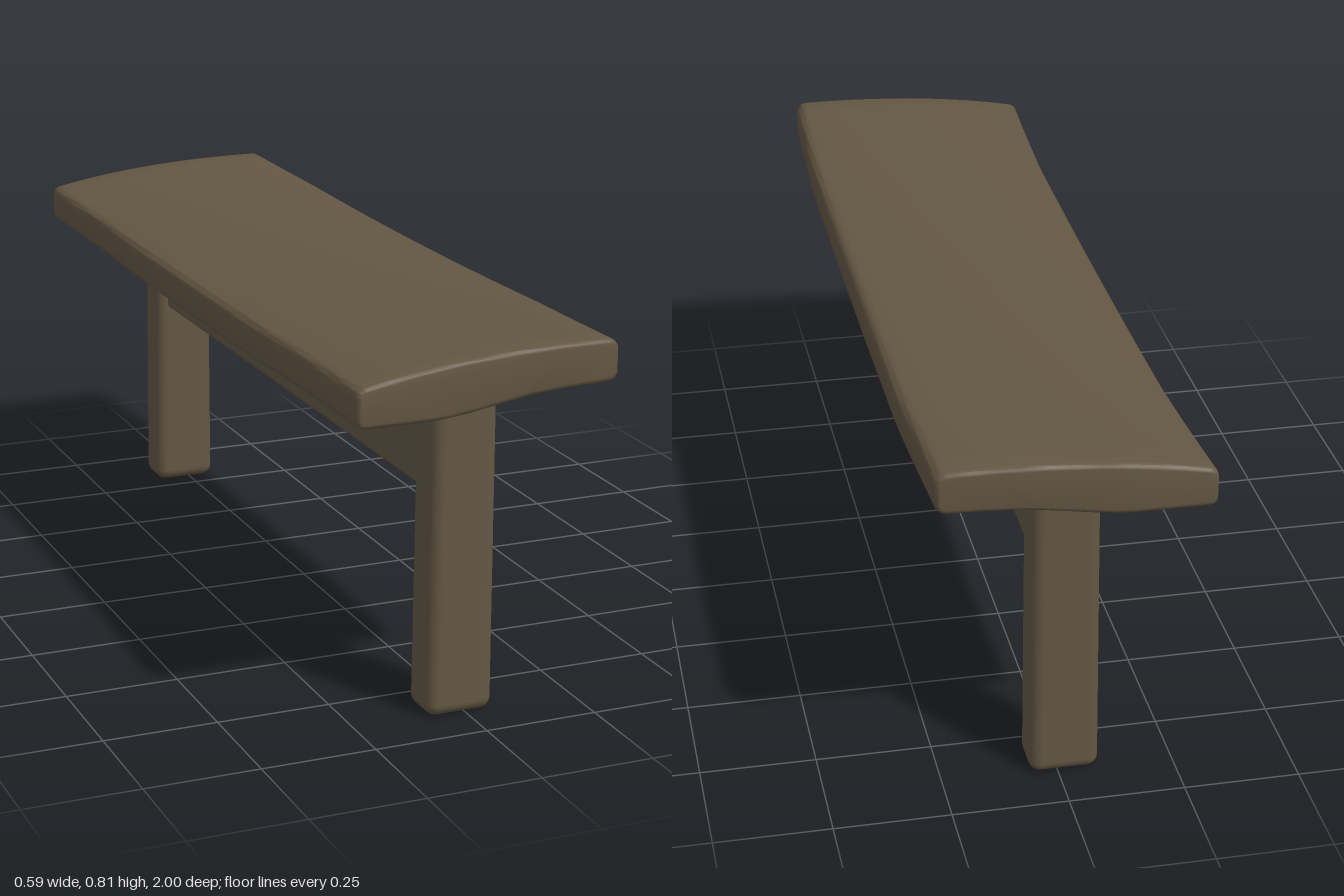
import * as THREE from 'three';
import { toCreasedNormals } from 'three/addons/utils/BufferGeometryUtils.js';
import { RoundedBoxGeometry } from 'three/addons/geometries/RoundedBoxGeometry.js';

const wood = new THREE.MeshStandardMaterial({ color: 0x635743 });
wood.name = 'weathered wood';

function part(name, geometry) {
  const mesh = new THREE.Mesh(geometry, wood);
  mesh.name = name;
  return mesh;
}

// Move every vertex of a geometry by a rule
function bend(geometry, rule) {
  const p = geometry.attributes.position;
  const v = new THREE.Vector3();
  for (let i = 0; i < p.count; i++) {
    v.fromBufferAttribute(p, i);
    rule(v);
    p.setXYZ(i, v.x, v.y, v.z);
  }
  return geometry;
}

// Warped plank: tilted, cupped cross-section that sags towards the middle
function seatGeometry() {
  const s = new THREE.Shape();
  s.moveTo(-0.296, 0.705);
  s.lineTo(-0.296, 0.748);
  s.quadraticCurveTo(-0.295, 0.768, -0.275, 0.771);
  s.bezierCurveTo(-0.1, 0.808, 0.1, 0.817, 0.255, 0.815);
  s.quadraticCurveTo(0.278, 0.813, 0.28, 0.79);
  s.lineTo(0.28, 0.745);
  s.quadraticCurveTo(0.278, 0.726, 0.255, 0.723);
  s.bezierCurveTo(0.02, 0.722, -0.02, 0.682, -0.17, 0.684);
  s.lineTo(-0.275, 0.684);
  s.quadraticCurveTo(-0.296, 0.685, -0.296, 0.705);
  const bevel = 0.01;
  const g = new THREE.ExtrudeGeometry(s, {
    depth: 2 - 2 * bevel, steps: 32, curveSegments: 10,
    bevelThickness: bevel, bevelSize: bevel, bevelOffset: -bevel, bevelSegments: 3,
  });
  g.translate(0, 0, -1 + bevel);
  bend(g, (v) => {
    const middle = 1 - v.z * v.z;
    v.y -= 0.02 * middle;
    v.x += 0.014 * Math.min(1, middle * 1.6);
  });
  return toCreasedNormals(g, 0.8);
}

// Rounded post, a little wider towards the floor
function legGeometry() {
  const height = 0.745;
  const g = new RoundedBoxGeometry(0.143, height, 0.108, 5, 0.026);
  g.translate(-0.01, height / 2 + 0.003, 0);
  return bend(g, (v) => {
    if (v.x < 0) v.x -= 0.008 * (1 - v.y / height);
  });
}

export function createModel() {
  const bench = new THREE.Group();
  bench.name = 'bench';

  bench.add(part('seat', seatGeometry()));

  for (const [name, z] of [['frontLeg', 0.85], ['backLeg', -0.842]]) {
    const leg = part(name, legGeometry());
    leg.position.z = z;
    bench.add(leg);
  }

  // Rail joining the two legs
  const rail = part('stretcher', new RoundedBoxGeometry(0.095, 0.17, 1.66, 4, 0.014));
  rail.position.set(-0.01, 0.555, 0);
  bench.add(rail);

  return bench;
}
